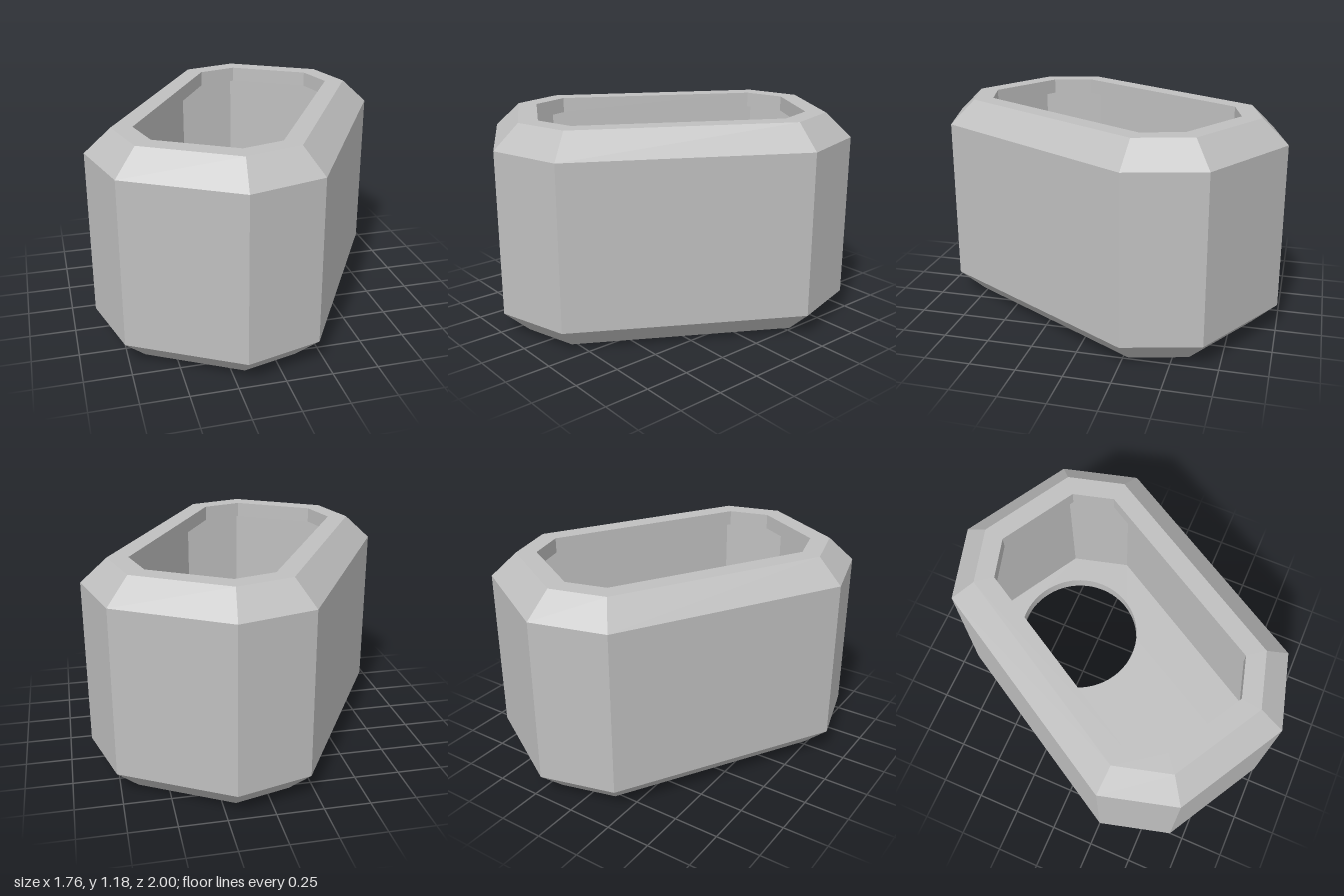
import * as THREE from 'three';

// Half of the octagonal plan as [x, z]; the other half is its half-turn copy
const half = [[-0.21, -0.89], [0.2, -1], [0.77, -0.67], [0.88, -0.26]];
const plan = [...half, ...half.map(([x, z]) => [-x, -z])];
const N = plan.length;

const HEIGHT = 1.18, CHAMFER = 0.132, WALL = 0.085, LIP = 0.235;
const HOLE = { x: 0.21, z: -0.37, r: 0.38 };

// Plan moved inward by t, with mitred corners
function inset(t) {
  const normals = plan.map(([x, z], i) => {
    const [x2, z2] = plan[(i + 1) % N];
    const len = Math.hypot(x2 - x, z2 - z);
    return [-(z2 - z) / len, (x2 - x) / len];
  });
  return plan.map(([x, z], i) => {
    const a = normals[(i + N - 1) % N], b = normals[i];
    const k = t / (1 + a[0] * b[0] + a[1] * b[1]);
    return [x + (a[0] + b[0]) * k, z + (a[1] + b[1]) * k];
  });
}

// Flat-shaded skin through [inset, y] levels
function loft(levels) {
  const rings = levels.map(([t, y]) => inset(t).map(([x, z]) => [x, y, z]));
  const pos = [];
  for (let l = 0; l < rings.length - 1; l++) {
    for (let i = 0; i < N; i++) {
      const j = (i + 1) % N;
      const a = rings[l][j], b = rings[l][i], c = rings[l + 1][i], d = rings[l + 1][j];
      pos.push(...a, ...b, ...c, ...a, ...c, ...d);
    }
  }
  const g = new THREE.BufferGeometry();
  g.setAttribute('position', new THREE.Float32BufferAttribute(pos, 3));
  g.computeVertexNormals();
  return g;
}

// Horizontal octagon with the round hole; up = 1 faces up, -1 faces down
function plate(t, y, up) {
  const shape = new THREE.Shape(inset(t).map(([x, z]) => new THREE.Vector2(x, -up * z)));
  const hole = new THREE.Path();
  hole.absarc(HOLE.x, -up * HOLE.z, HOLE.r, 0, Math.PI * 2);
  shape.holes.push(hole);
  return new THREE.ShapeGeometry(shape, 32).rotateX(-up * Math.PI / 2).translate(0, y, 0);
}

export function createModel() {
  const group = new THREE.Group();
  const grey = new THREE.MeshStandardMaterial({ color: 0xbfbfbf });
  grey.name = 'grey';
  const add = (name, geometry) => {
    const mesh = new THREE.Mesh(geometry, grey);
    mesh.name = name;
    group.add(mesh);
    return mesh;
  };

  // Outside with chamfered edges
  add('outerShell', loft([
    [CHAMFER, 0], [0, CHAMFER], [0, HEIGHT - CHAMFER], [CHAMFER, HEIGHT],
  ]));
  // Rim with an overhanging lip
  add('rim', loft([
    [CHAMFER, HEIGHT], [LIP, HEIGHT], [LIP, HEIGHT - WALL], [WALL, HEIGHT - WALL],
  ]));
  // Cavity walls and floor
  add('innerWalls', loft([[WALL, HEIGHT - WALL], [WALL, WALL]]));
  add('floor', plate(WALL, WALL, 1));
  add('underside', plate(CHAMFER, 0, -1));
  // Round hole through the floor, facing inward
  const edge = [new THREE.Vector2(HOLE.r, WALL), new THREE.Vector2(HOLE.r, 0)];
  add('holeEdge', new THREE.LatheGeometry(edge, 64)).position.set(HOLE.x, 0, HOLE.z);

  return group;
}
